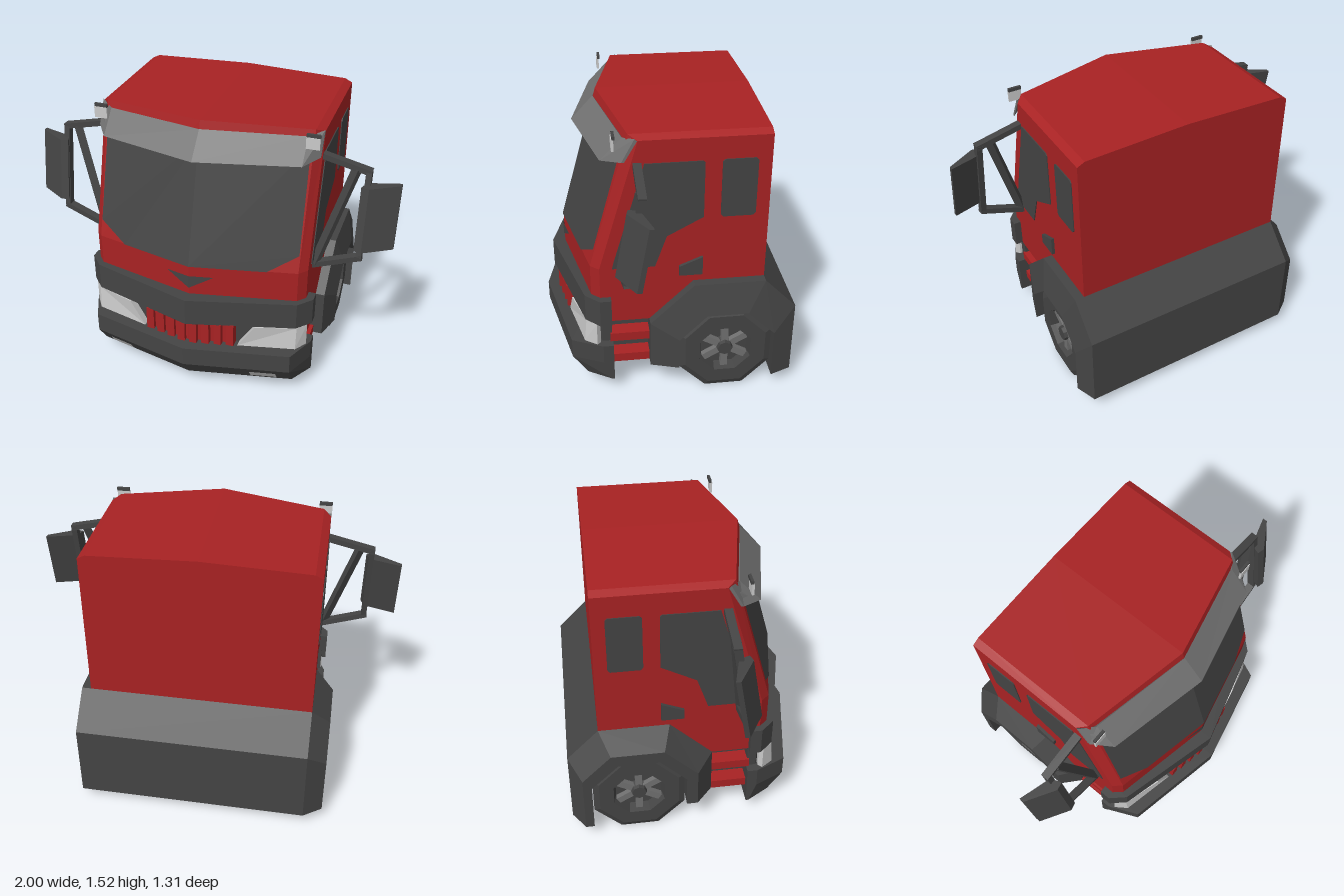
import * as THREE from 'three';

const mat = (name, color, side = THREE.FrontSide) => {
  const m = new THREE.MeshStandardMaterial({ color, side });
  m.name = name;
  return m;
};

// Flat-faced solid through a row of equal-length loops of [x, y, z], capped at both ends.
function loft(loops) {
  const tris = [], n = loops[0].length;
  for (let i = 0; i + 1 < loops.length; i++) {
    for (let j = 0; j < n; j++) {
      const k = (j + 1) % n, a = loops[i], b = loops[i + 1];
      tris.push([a[j], a[k], b[k]], [a[j], b[k], b[j]]);
    }
  }
  const first = loops[0], last = loops[loops.length - 1];
  for (let j = 1; j + 1 < n; j++) {
    tris.push([first[0], first[j + 1], first[j]], [last[0], last[j], last[j + 1]]);
  }
  // The signed volume tells whether the corners need reversing
  let volume = 0;
  const v = (p) => new THREE.Vector3(...p);
  for (const [a, b, c] of tris) volume += v(a).dot(v(b).cross(v(c)));
  if (volume < 0) tris.forEach((t) => t.reverse());
  const g = new THREE.BufferGeometry();
  g.setAttribute('position', new THREE.Float32BufferAttribute(tris.flat(2), 3));
  g.computeVertexNormals();
  return g;
}

// Loft across x: half stations [x, loop of [y, z]] from the centre out are mirrored to both sides.
function loftAcross(half) {
  const left = half.slice(1).reverse().map(([x, l]) => [-x, l]);
  return loft([...left, ...half].map(([x, l]) => l.map(([y, z]) => [x, y, z])));
}

// Thin plate facing the front: outline [x, y], depth given by a rule.
function frontPlate(outline, zRule) {
  const g = new THREE.ShapeGeometry(new THREE.Shape(outline.map((p) => new THREE.Vector2(...p)))).toNonIndexed();
  const p = g.attributes.position;
  for (let i = 0; i < p.count; i++) p.setZ(i, zRule(p.getX(i), p.getY(i)));
  g.computeVertexNormals();
  return g;
}

// Thin plate on a side wall: outline [z, y].
function sidePlate(outline, s, depth) {
  const shape = new THREE.Shape(outline.map(([z, y]) => new THREE.Vector2(-z, y)));
  const g = new THREE.ExtrudeGeometry(shape, { depth, bevelEnabled: false });
  return g.rotateY(Math.PI / 2).translate(s > 0 ? 0.599 : -0.599 - depth, 0, 0);
}

function beam(a, b, w, d) {
  const from = new THREE.Vector3(...a), to = new THREE.Vector3(...b);
  const dir = to.clone().sub(from);
  const g = new THREE.BoxGeometry(w, dir.length() + w * 0.6, d);
  g.applyQuaternion(new THREE.Quaternion().setFromUnitVectors(new THREE.Vector3(0, 1, 0), dir.normalize()));
  return g.translate(...from.add(to).multiplyScalar(0.5).toArray());
}

const box = (w, h, d, x, y, z) => new THREE.BoxGeometry(w, h, d).translate(x, y, z);

export function createModel() {
  const root = new THREE.Group();
  root.name = 'truckCab';
  const red = mat('red paint', 0xa82223);
  const dark = mat('dark grey', 0x444444);
  const glass = mat('dark glass', 0x444444, THREE.DoubleSide);
  const grey = mat('mid grey', 0x707070, THREE.DoubleSide);
  const light = mat('lamp grey', 0xcacaca, THREE.DoubleSide);
  const add = (name, geometry, material, parent = root) => {
    const m = new THREE.Mesh(geometry, material);
    m.name = name;
    parent.add(m);
    return m;
  };

  // Cab shell: bowed front, raked windscreen, slightly peaked roof
  const cabStation = (x, set, top) => [x, [
    [0.45, 0.54 - set], [0.78, 0.54 - set], [top, 0.335 - set],
    [top, -0.485], [0.6, -0.485], [0.45, 0.12],
  ]];
  add('cabShell', loftAcross([cabStation(0, 0, 1.525), cabStation(0.56, 0.12, 1.505), cabStation(0.6, 0.165, 1.485)]), red);

  // Windscreen and front vent
  const cabFront = (x, y) => 0.545 - 0.214 * Math.abs(x) - Math.max(0, y - 0.78) * 0.28;
  for (const s of [1, -1]) {
    add('windscreen', frontPlate([[0, 0.78], [s * 0.4, 0.78], [s * 0.555, 0.875], [s * 0.548, 1.42], [0, 1.42]], cabFront), glass);
    add('frontVent', frontPlate([[0, 0.645], [s * 0.13, 0.72], [0, 0.72]], cabFront), glass);
  }

  // Sun visor
  const visorStation = (x, yb, zb, yt, zt) => [x, [[yb, zb], [yt, zt], [yt - 0.012, zt - 0.012], [yb, zb - 0.014]]];
  add('sunVisor', loftAcross([
    visorStation(0, 1.355, 0.468, 1.482, 0.35),
    visorStation(0.53, 1.36, 0.35, 1.475, 0.24),
    visorStation(0.6, 1.375, 0.25, 1.495, 0.185),
  ]), grey);

  // Wheel housing: arch section carried through the full width, sloping flanks
  const outer = [[0.12, 0.175], [0.12, 0.45], [-0.11, 0.675], [-0.485, 0.675], [-0.655, 0.5], [-0.655, 0.075]];
  const arch = [[-0.03, 0.175], [-0.03, 0.36], [-0.175, 0.505], [-0.395, 0.505], [-0.54, 0.36], [-0.54, 0.075]];
  add('wheelHousing', loft(outer.map(([z, y], i) => {
    const [az, ay] = arch[i];
    const mid = [-0.7, y + (ay - y) * 0.6, z + (az - z) * 0.6];
    return [[-0.7, ay, az], mid, [-0.6, y, z], [0.65, y, z], [0.695, ay, az]];
  })), dark);

  // Bumpers and the dark core between them
  const upperStation = (x, z) => [x, [[0.45, z], [0.605, z], [0.605, 0.32], [0.45, 0.32]]];
  add('upperBumper', loftAcross([upperStation(0, 0.61), upperStation(0.57, 0.455), upperStation(0.64, 0.38)]), dark);
  const lowerStation = (x, z, tuck) => [x, [[0.315, z], [0.205, z], [0.09, z - tuck], [0.09, 0.315], [0.315, 0.315]]];
  add('lowerBumper', loftAcross([lowerStation(0, 0.655, 0.08), lowerStation(0.565, 0.535, 0.08), lowerStation(0.64, 0.37, 0.04)]), dark);
  const coreStation = (x, z) => [x, [[0.31, z], [0.455, z], [0.455, 0.32], [0.31, 0.32]]];
  add('frontCore', loftAcross([coreStation(0, 0.555), coreStation(0.36, 0.475), coreStation(0.59, 0.37)]), dark);

  // Grille: bowed red backing with vertical slats
  const grilleStation = (x, z) => [x, [[0.312, z], [0.452, z], [0.452, z - 0.06], [0.312, z - 0.06]]];
  add('grilleBacking', loftAcross([grilleStation(0, 0.57), grilleStation(0.25, 0.517)]), red);
  for (let i = 0; i < 8; i++) {
    const x = -0.231 + i * 0.066;
    add('grilleSlat', box(0.042, 0.14, 0.05, x, 0.382, 0.572 - 0.21 * Math.abs(x)), red);
  }

  // Steps below the doors
  add('stepRecess', box(1.04, 0.275, 0.24, 0, 0.3175, 0.22), dark);
  for (const y of [0.2, 0.34]) add('stepTread', box(1.2, 0.05, 0.215, 0, y, 0.222), red);

  for (const s of [1, -1]) {
    const side = new THREE.Group();
    side.name = s > 0 ? 'leftSide' : 'rightSide';
    root.add(side);
    const put = (name, g, m) => add(name, g, m, side);
    const flip = (p) => [s * p[0], p[1], p[2]];

    // Head lamp wrapping round the corner
    put('headLamp', loft([
      [[0.27, 0.316, 0.535], [0.36, 0.449, 0.52], [0.36, 0.449, 0.42], [0.27, 0.316, 0.42]],
      [[0.575, 0.316, 0.465], [0.575, 0.449, 0.452], [0.575, 0.449, 0.38], [0.575, 0.316, 0.38]],
      [[0.62, 0.316, 0.4], [0.62, 0.449, 0.4], [0.6, 0.449, 0.38], [0.6, 0.316, 0.38]],
    ].map((l) => l.map(flip))), light);

    // Fog lamp and roof marker
    put('fogLamp', frontPlate([[0.35, 0.125], [0.49, 0.125], [0.49, 0.18], [0.35, 0.18]].map(([x, y]) => [s * x, y]),
      (x, y) => 0.663 - 0.212 * Math.abs(x) - (0.205 - y) * 0.69), light);
    put('roofMarker', box(0.07, 0.06, 0.012, s * 0.566, 1.465, 0.29), light);
    put('roofMarkerCap', box(0.07, 0.018, 0.014, s * 0.566, 1.503, 0.285), dark);

    // Side windows and door handle
    put('doorWindow', sidePlate([[0.14, 1.365], [-0.145, 1.365], [-0.155, 1.355], [-0.155, 1.055],
      [0.03, 0.955], [0.09, 0.78], [0.31, 0.78], [0.3, 0.82]], s, 0.006), dark);
    put('rearWindow', sidePlate([[-0.24, 1.355], [-0.24, 1.065], [-0.252, 1.05], [-0.405, 1.05], [-0.417, 1.065],
      [-0.417, 1.355], [-0.405, 1.367], [-0.252, 1.367]], s, 0.006), dark);
    put('doorHandle', sidePlate([[-0.035, 0.72], [-0.155, 0.72], [-0.155, 0.825], [-0.035, 0.775]], s, 0.018), dark);

    // Mirror frame
    const bars = [
      [[0.58, 1.36, 0.175], [0.84, 1.3, 0.175]],
      [[0.835, 1.3, 0.175], [0.835, 0.85, 0.25]],
      [[0.84, 0.84, 0.25], [0.58, 0.745, 0.26]],
      [[0.77, 1.3, 0.18], [0.61, 0.77, 0.26]],
    ];
    for (const [a, b] of bars) put('mirrorArm', beam(flip(a), flip(b), 0.03, 0.042), dark);

    // Mirror housing, leaning back towards the top
    const plan = [[1, 0.165], [1, 0.19], [0.85, 0.28], [0.81, 0.27], [0.83, 0.215]];
    put('mirrorHousing', loft([[0.9, 0.03], [1.24, -0.03]].map(([y, dz]) => plan.map(([x, z]) => [s * x, y, z + dz]))), dark);

    // Eight-sided wheel with recessed hub and six spokes
    const wheel = new THREE.Group();
    wheel.name = 'wheel';
    wheel.position.set(0, 0.25, -0.285);
    side.add(wheel);
    const profile = [[0, 0.455], [0.25, 0.455], [0.27, 0.475], [0.27, 0.645], [0.235, 0.66], [0.15, 0.66], [0.135, 0.6], [0, 0.6]];
    const tyre = new THREE.LatheGeometry(profile.map((p) => new THREE.Vector2(...p)), 8, Math.PI / 8)
      .toNonIndexed().rotateZ(-s * Math.PI / 2);
    tyre.computeVertexNormals();
    add('tyre', tyre, dark, wheel);
    const hub = new THREE.CylinderGeometry(0.04, 0.052, 0.06, 8).toNonIndexed()
      .rotateZ(-s * Math.PI / 2).translate(s * 0.625, 0, 0);
    hub.computeVertexNormals();
    add('hub', hub, dark, wheel);
    for (let i = 0; i < 6; i++) {
      add('spoke', box(0.03, 0.095, 0.038, s * 0.62, 0.085, 0).rotateX(i * Math.PI / 3), grey, wheel);
    }
  }
  return root;
}
